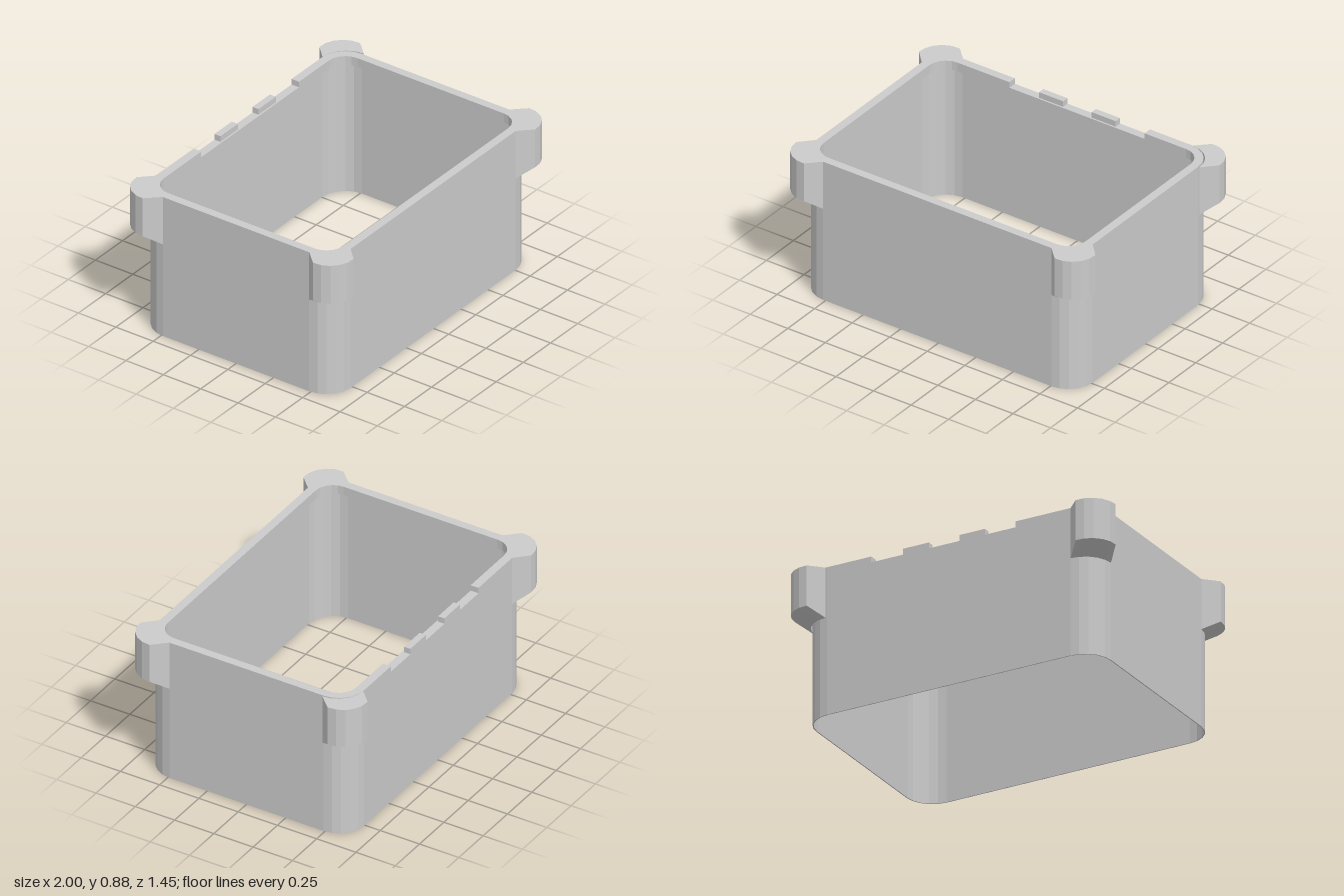
import * as THREE from 'three';

const W = 0.92, D = 0.65, R = 0.16;          // outer half width, half depth, corner radius
const TOP = 0.88, LIP = 0.055, NOTCH = 0.035; // rim heights
const THICK = 0.05, WALL = 0.006;
const CORNER_SEGS = 5;

const material = new THREE.MeshStandardMaterial({
  color: 0xcccccc, flatShading: true, side: THREE.DoubleSide,
});

// Points on an arc, angles in degrees
function arc(cx, cz, r, from, to, segs = CORNER_SEGS) {
  return Array.from({ length: segs + 1 }, (_, i) => {
    const a = THREE.MathUtils.degToRad(from + (to - from) * i / segs);
    return new THREE.Vector2(cx + r * Math.cos(a), cz + r * Math.sin(a));
  });
}

// Rounded rectangle inset from the outer wall, starting at the back right corner
function outline(inset) {
  const x = W - R, z = D - R, r = R - inset;
  return [
    ...arc(x, -z, r, -90, 0), ...arc(x, z, r, 0, 90),
    ...arc(-x, z, r, 90, 180), ...arc(-x, -z, r, 180, 270),
  ];
}

// Extrude a plan shape between two heights
function slab(name, shape, y0, y1) {
  const geo = new THREE.ExtrudeGeometry(shape, { depth: y1 - y0, bevelEnabled: false });
  geo.rotateX(Math.PI / 2).translate(0, y1, 0);
  const mesh = new THREE.Mesh(geo, material);
  mesh.name = name;
  return mesh;
}

function ring(inset) {
  const shape = new THREE.Shape(outline(0));
  shape.holes.push(new THREE.Path(outline(inset)));
  return shape;
}

// Rim plan left open at the back between x0 and x1
function openRing(x0, x1) {
  const P = (x, z) => new THREE.Vector2(x, z);
  return new THREE.Shape([
    P(x1, -D), ...outline(0), P(x0, -D),
    P(x0, -D + THICK), ...outline(THICK).reverse(), P(x1, -D + THICK),
  ]);
}

// Corner lug: a rounded block whose underside slopes in to the wall
function cornerLug(sx, sz) {
  const outer = arc(0.85, 0.58, 0.146, -4, 96);
  const inner = arc(W - R, D - R, R, 0, 90);
  const section = outer.map((o, i) => [
    [o.x, TOP, o.y], [o.x, 0.64, o.y],
    [inner[i].x, 0.58, inner[i].y], [inner[i].x, TOP, inner[i].y],
  ]);
  const pos = [];
  const quad = (...q) => {
    if (sx * sz < 0) q.reverse();
    for (const k of [0, 1, 2, 0, 2, 3]) pos.push(q[k][0] * sx, q[k][1], q[k][2] * sz);
  };
  for (let i = 0; i < CORNER_SEGS; i++) {
    const a = section[i], b = section[i + 1];
    for (let k = 0; k < 4; k++) {
      const n = (k + 1) % 4;
      quad(a[k], b[k], b[n], a[n]);
    }
  }
  quad(...section[0]);
  quad(...section[CORNER_SEGS].slice().reverse());
  const geo = new THREE.BufferGeometry();
  geo.setAttribute('position', new THREE.Float32BufferAttribute(pos, 3));
  geo.computeVertexNormals();
  const mesh = new THREE.Mesh(geo, material);
  mesh.name = `${sz > 0 ? 'front' : 'back'}${sx > 0 ? 'Left' : 'Right'}Lug`;
  return mesh;
}

export function createModel() {
  const model = new THREE.Group();
  model.name = 'openBox';

  // Thin wall, open at top and bottom, with a thicker inner lip
  model.add(slab('wall', ring(WALL), 0, TOP - LIP));
  model.add(slab('lip', ring(THICK), TOP - LIP, TOP - NOTCH));
  model.add(slab('rim', openRing(-0.415, 0.485), TOP - NOTCH, TOP));

  // Two teeth standing in the notch at the back
  for (const x of [-0.145, 0.205]) {
    const tooth = new THREE.Mesh(new THREE.BoxGeometry(0.16, NOTCH, 0.04), material);
    tooth.position.set(x, TOP - NOTCH / 2, -D + 0.02);
    tooth.name = 'tooth';
    model.add(tooth);
  }

  // Four corner lugs; the back left one stands slightly proud
  for (const sx of [-1, 1]) for (const sz of [-1, 1]) {
    const lug = cornerLug(sx, sz);
    if (sx > 0 && sz < 0) lug.position.x = 0.01;
    model.add(lug);
  }

  for (const part of model.children) part.position.x -= 0.005;
  return model;
}
